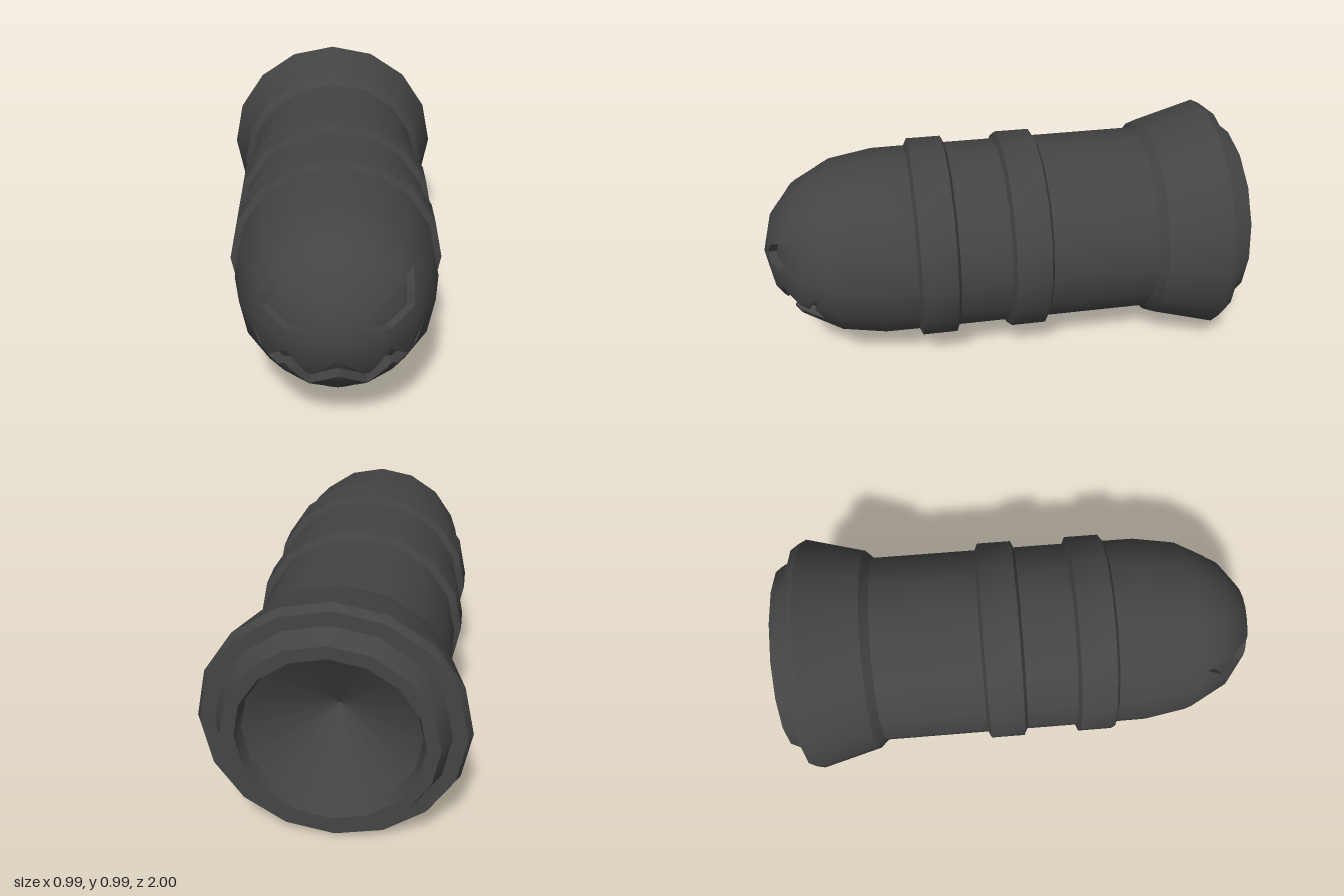
import * as THREE from 'three';
import { toCreasedNormals } from 'three/addons/utils/BufferGeometryUtils.js';

const SIDES = 16;
const STEP = (2 * Math.PI) / SIDES;
const LEVELS = 4; // midpoint subdivisions of the nose surface
const DEPTH = 0.035; // depth of the carved face
const material = new THREE.MeshStandardMaterial({ color: 0x444444 });

// Nose profile: [radius, z, tilt of the normal in degrees]
const NOSE = [[0, 1, 0], [0.155, 0.96, 27], [0.28, 0.86, 50], [0.366, 0.7, 80]];

// Point and normal of the 16-sided dome above (x, y), sunk along the normal
function dome(x, y, sink = 0) {
  const a = Math.atan2(y, x);
  const local = ((a % STEP) + STEP) % STEP;
  const r = (Math.hypot(x, y) * Math.cos(local - STEP / 2)) / Math.cos(STEP / 2);
  let i = 0;
  while (i < NOSE.length - 2 && r > NOSE[i + 1][0]) i++;
  const [p, q] = [NOSE[i], NOSE[i + 1]];
  const t = Math.min(1, (r - p[0]) / (q[0] - p[0]));
  const tilt = THREE.MathUtils.degToRad(p[2] + (q[2] - p[2]) * t);
  const n = new THREE.Vector3(Math.cos(a) * Math.sin(tilt), Math.sin(a) * Math.sin(tilt), Math.cos(tilt));
  const point = new THREE.Vector3(x, y, p[1] + (q[1] - p[1]) * t).addScaledVector(n, -sink);
  return { point, n };
}

// Flat shape, subdivided evenly and draped over the dome
function drape(shape, sink) {
  const flat = new THREE.ShapeGeometry(shape).toNonIndexed().getAttribute('position');
  let tris = [];
  for (let i = 0; i < flat.count; i += 3) {
    tris.push([0, 1, 2].map((k) => new THREE.Vector2(flat.getX(i + k), flat.getY(i + k))));
  }
  const mid = (a, b) => a.clone().add(b).multiplyScalar(0.5);
  for (let l = 0; l < LEVELS; l++) {
    tris = tris.flatMap(([a, b, c]) => {
      const [ab, bc, ca] = [mid(a, b), mid(b, c), mid(c, a)];
      return [[a, ab, ca], [ab, b, bc], [ca, bc, c], [ab, bc, ca]];
    });
  }
  const position = [], normal = [];
  for (const v of tris.flat()) {
    const { point, n } = dome(v.x, v.y, sink);
    position.push(...point.toArray());
    normal.push(...n.toArray());
  }
  const g = new THREE.BufferGeometry();
  g.setAttribute('position', new THREE.Float32BufferAttribute(position, 3));
  g.setAttribute('normal', new THREE.Float32BufferAttribute(normal, 3));
  return g;
}

// Side walls of a recess, following a counter-clockwise outline
function recessWalls(outline) {
  const position = [];
  const parts = 2 ** LEVELS;
  outline.forEach((a, i) => {
    const b = outline[(i + 1) % outline.length];
    for (let k = 0; k < parts; k++) {
      const u = a.clone().lerp(b, k / parts), v = a.clone().lerp(b, (k + 1) / parts);
      const [p, q, p2, q2] = [dome(u.x, u.y), dome(v.x, v.y), dome(u.x, u.y, DEPTH), dome(v.x, v.y, DEPTH)];
      for (const c of [p, q, p2, q, q2, p2]) position.push(...c.point.toArray());
    }
  });
  const g = new THREE.BufferGeometry();
  g.setAttribute('position', new THREE.Float32BufferAttribute(position, 3));
  g.computeVertexNormals();
  return g;
}

const toOutline = (pts) => {
  const v = pts.map(([x, y]) => new THREE.Vector2(x, y));
  return THREE.ShapeUtils.isClockWise(v) ? v.reverse() : v;
};
const mirror = (pts) => pts.map(([x, y]) => [-x, y]);

export function createModel() {
  const model = new THREE.Group();
  model.name = 'shell';
  const add = (name, geometry, parent = model) => {
    const mesh = new THREE.Mesh(geometry, material);
    mesh.name = name;
    parent.add(mesh);
  };
  // Profile of [radius, z] points, running from back to front
  const turned = (profile) =>
    new THREE.LatheGeometry(profile.map(([r, z]) => new THREE.Vector2(r, z)), SIDES).rotateX(Math.PI / 2);

  // Tail: hollow exhaust cone, rim and flared skirt
  add('tail', toCreasedNormals(turned([
    [0, -0.75], [0.325, -0.95], [0.34, -1], [0.39, -1], [0.425, -0.925], [0.48, -0.925],
    [0.497, -0.89], [0.43, -0.64], [0.396, -0.605],
  ]), 0.5));

  // Barrel and the start of the nose taper
  add('barrel', turned([[0.397, -0.62], [0.397, 0.36]]));
  add('noseCollar', turned([[0.397, 0.36], [0.396, 0.52], [0.366, 0.7]]));

  // Two chamfered bands
  for (const z of [-0.085, 0.295]) {
    add('band', toCreasedNormals(turned([
      [0.39, z - 0.088], [0.425, z - 0.072], [0.425, z + 0.072], [0.39, z + 0.088],
    ]), 0.5));
  }

  // Carved face outlines, relative to the axis
  const eye = [[0.274, 0.185], [0.122, 0.108], [0.082, 0.047], [0.186, 0.025], [0.274, 0.071]];
  const upper = [[0.322, -0.028], [0.26, -0.137], [0.186, -0.063], [0.109, -0.172]];
  const lower = [[0.109, -0.257], [0.194, -0.151], [0.258, -0.195]];
  const mouth = [
    ...upper, [0, -0.073], ...mirror(upper).reverse(),
    ...mirror(lower).reverse(), [0, -0.161], ...lower,
  ];
  const features = { leftEye: eye, rightEye: mirror(eye), mouth };

  // Nose dome with the face cut out
  const rim = NOSE[NOSE.length - 1][0];
  const disc = new THREE.Shape(Array.from({ length: SIDES }, (_, i) =>
    new THREE.Vector2(rim * Math.cos(i * STEP), rim * Math.sin(i * STEP))));
  for (const [name, pts] of Object.entries(features)) {
    const outline = toOutline(pts);
    disc.holes.push(new THREE.Path(outline));
    const recess = new THREE.Group();
    recess.name = name;
    add(name + 'Floor', drape(new THREE.Shape(outline), DEPTH), recess);
    add(name + 'Walls', recessWalls(outline), recess);
    model.add(recess);
  }
  add('nose', drape(disc, 0));

  // Lift every part so the shell rests on the ground
  model.children.forEach((part) => { part.position.y = 0.5; });
  return model;
}
